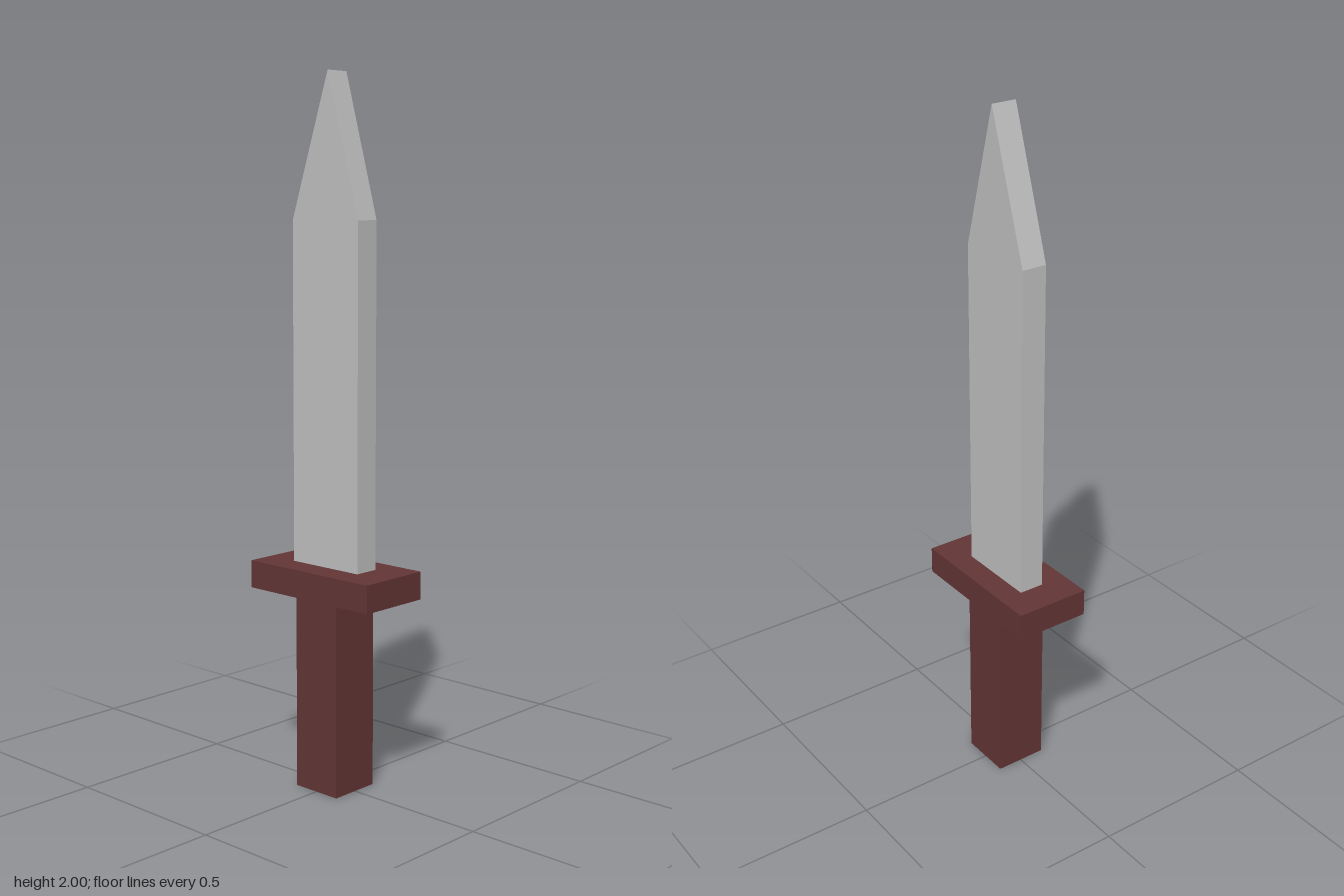
import * as THREE from 'three';

export function createModel() {
  const model = new THREE.Group();
  model.name = 'dagger';
  const steel = new THREE.MeshStandardMaterial({ name: 'steel grey', color: 0xc0c0c0 });
  const wood = new THREE.MeshStandardMaterial({ name: 'dark red wood', color: 0x633535 });

  const add = (name, geometry, material) => {
    const mesh = new THREE.Mesh(geometry, material);
    mesh.name = name;
    model.add(mesh);
    return mesh;
  };

  // Square grip, from the ground up to the guard
  add('grip', new THREE.BoxGeometry(0.153, 0.563, 0.153), wood).position.set(-0.001, 0.2815, 0);

  // Flat crossguard, long in z
  add('guard', new THREE.BoxGeometry(0.222, 0.079, 0.443), wood).position.set(-0.001, 0.602, -0.001);

  // Flat-sided blade: outline drawn in z and y, extruded through x
  const outline = new THREE.Shape([
    [-0.128, 0.64], [0.115, 0.64], [0.115, 1.603], [0.004, 2], [-0.128, 1.603],
  ].map(([z, y]) => new THREE.Vector2(z, y)));
  const blade = new THREE.ExtrudeGeometry(outline, { depth: 0.074, bevelEnabled: false });
  blade.rotateY(-Math.PI / 2);
  blade.translate(0.04, 0, 0);
  add('blade', blade, steel);

  return model;
}
